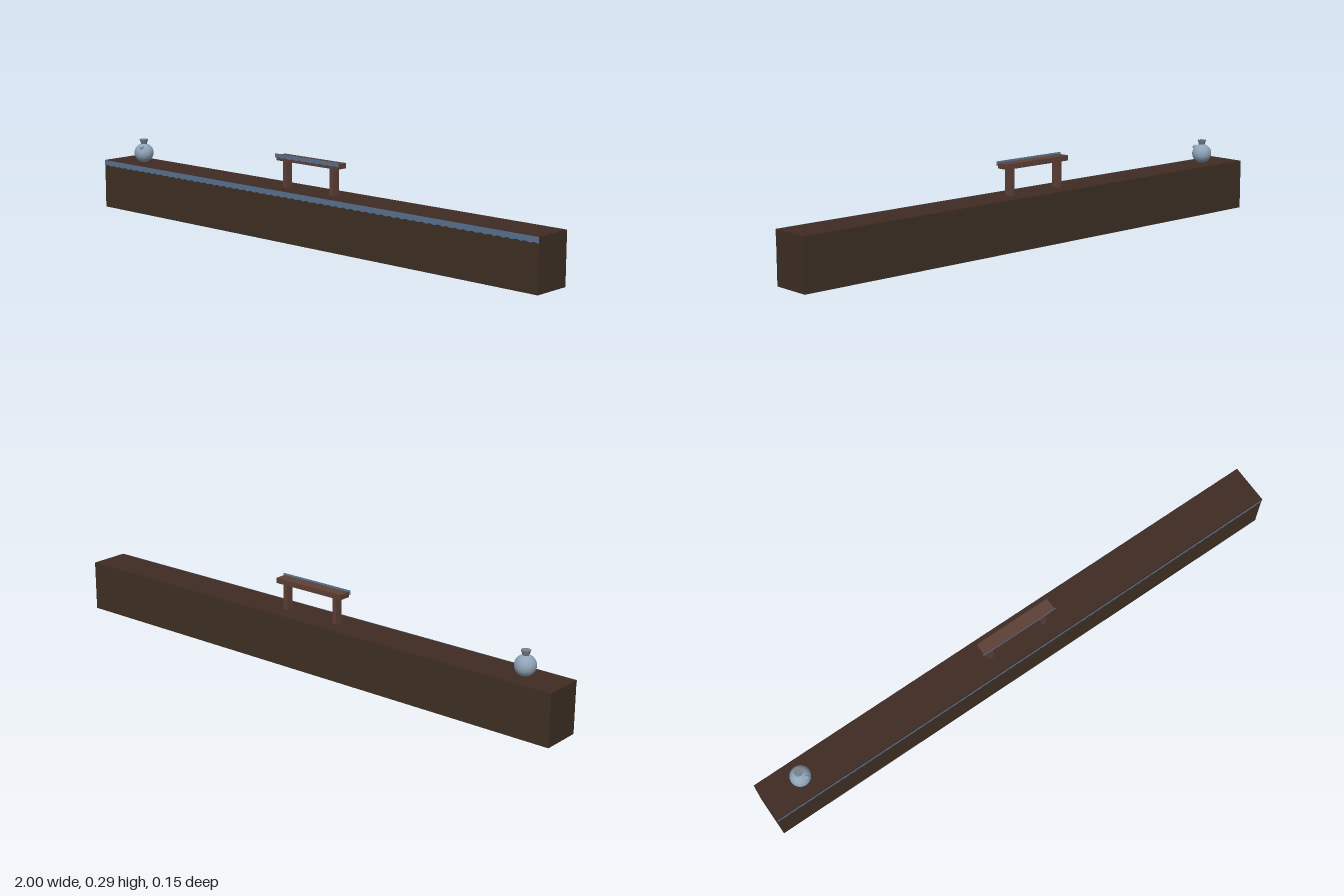
import * as THREE from 'three';

const mat = (name, color, side = THREE.FrontSide) => {
  const m = new THREE.MeshStandardMaterial({ color, side });
  m.name = name;
  return m;
};

export function createModel() {
  const model = new THREE.Group();
  const earth = mat('dark earth', 0x3e2f24);
  const topSoil = mat('top soil', 0x3e2b23);
  const wood = mat('brown wood', 0x5d4037);
  const glaze = mat('pale blue glaze', 0x90a4b8);
  const neckGrey = mat('neck grey', 0x78828c);
  const trimBlue = mat('trim blue', 0x5b7595, THREE.DoubleSide);

  const add = (name, geometry, material, x, y, z, parent = model) => {
    const mesh = new THREE.Mesh(geometry, material);
    mesh.name = name;
    mesh.position.set(x, y, z);
    parent.add(mesh);
    return mesh;
  };

  // Long base block, with a slightly redder top face
  add('baseBlock', new THREE.BoxGeometry(2, 0.179, 0.143),
    [earth, earth, topSoil, earth, earth, earth], 0, 0.0895, -0.001);

  // Thin hanging trim: straight upper edge, scalloped lower edge, bowed forward
  const trim = (name, length, top, bottom, teeth, z, bow) => {
    const h = top - bottom;
    const g = new THREE.PlaneGeometry(length, h, teeth * 2, 2);
    const p = g.attributes.position;
    for (let i = 0; i < p.count; i++) {
      const column = i % (teeth * 2 + 1);
      const v = p.getY(i) / h + 0.5;
      const u = p.getX(i) / (length / 2);
      if (v < 0.01 && column % 2) p.setY(i, p.getY(i) + h * 0.2);
      p.setZ(i, bow * (1 - u * u) + 0.001 * v);
    }
    g.computeVertexNormals();
    add(name, g, trimBlue, 0, (top + bottom) / 2, z);
  };
  trim('baseTrim', 2, 0.179, 0.157, 60, 0.0715, 0.0015);
  trim('benchTrim', 0.296, 0.295, 0.279, 9, 0.021, 0.001);

  // Bench
  const bench = new THREE.Group();
  bench.name = 'bench';
  model.add(bench);
  add('benchSeat', new THREE.BoxGeometry(0.284, 0.018, 0.043), wood, 0, 0.28, -0.001, bench);
  for (const s of [-1, 1]) {
    add(s > 0 ? 'leftLeg' : 'rightLeg', new THREE.BoxGeometry(0.016, 0.094, 0.0285),
      wood, s * 0.109, 0.225, -0.0008, bench);
  }

  // Round jar with a flared neck and a small bead on its shoulder
  const jar = new THREE.Group();
  jar.name = 'jar';
  jar.position.set(-0.859, 0.2145, -0.001);
  model.add(jar);
  add('jarBody', new THREE.SphereGeometry(0.0355, 40, 28), glaze, 0, 0, 0, jar);
  add('jarNeck', new THREE.CylinderGeometry(0.016, 0.01, 0.018, 24), neckGrey, 0, 0.0415, 0, jar);
  add('jarBead', new THREE.SphereGeometry(0.008, 20, 14), glaze, 0.014, 0.0235, 0.0225, jar);

  return model;
}
